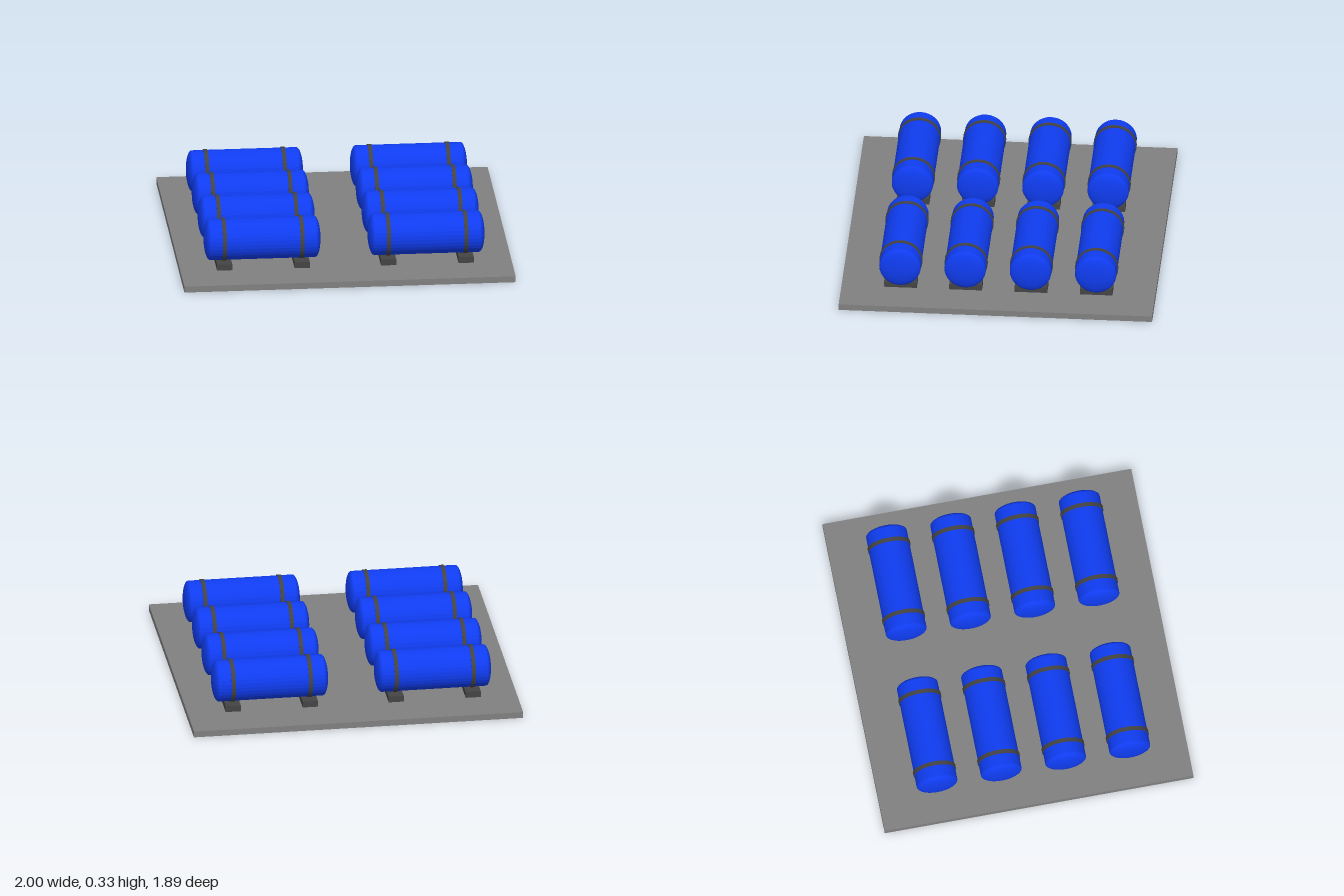
import * as THREE from 'three';

const SIDES = 32;
const BASE_TOP = 0.038;
const TANK = { radius: 0.125, half: 0.352, cap: 0.036, y: 0.203 };
const STRAP = { radius: 0.13, width: 0.024, offset: 0.234 };

// Cylinder with shallow elliptical ends, lying along x
function tankGeometry() {
  const steps = 8;
  const shoulder = TANK.half - TANK.cap;
  const profile = [];
  for (const side of [-1, 1]) {
    for (let i = 0; i <= steps; i++) {
      const t = (side < 0 ? i : steps - i) / steps * Math.PI / 2;
      profile.push(new THREE.Vector2(
        TANK.radius * Math.sin(t),
        side * (shoulder + TANK.cap * Math.cos(t))
      ));
    }
  }
  return new THREE.LatheGeometry(profile, SIDES).rotateZ(Math.PI / 2);
}

export function createModel() {
  const model = new THREE.Group();
  model.name = 'tankField';

  const slabMat = new THREE.MeshStandardMaterial({ color: 0x808080 });
  const darkMat = new THREE.MeshStandardMaterial({ color: 0x444444 });
  const strapMat = new THREE.MeshStandardMaterial({ color: 0x444444, flatShading: true });
  const tankMat = new THREE.MeshStandardMaterial({ color: 0x0f3cf0, flatShading: true });

  const add = (parent, name, geometry, material, x, y, z) => {
    const mesh = new THREE.Mesh(geometry, material);
    mesh.name = name;
    mesh.position.set(x, y, z);
    parent.add(mesh);
  };

  // Ground slab
  add(model, 'baseSlab', new THREE.BoxGeometry(2, BASE_TOP, 1.89), slabMat, 0, BASE_TOP / 2, 0);

  const tankGeo = tankGeometry();
  const strapGeo = new THREE.CylinderGeometry(STRAP.radius, STRAP.radius, STRAP.width, SIDES)
    .rotateZ(Math.PI / 2);
  const footHeight = 0.038;
  const footGeo = new THREE.BoxGeometry(0.092, footHeight, 0.197);

  // Two columns of four tanks, each with two straps and two feet
  for (const x of [-0.5, 0.49]) {
    for (const z of [-0.59, -0.197, 0.197, 0.59]) {
      const unit = new THREE.Group();
      unit.name = 'tankUnit';
      unit.position.set(x, 0, z);
      add(unit, 'tank', tankGeo, tankMat, 0, TANK.y, 0);
      for (const side of [-1, 1]) {
        add(unit, 'strap', strapGeo, strapMat, side * STRAP.offset, TANK.y, 0);
        add(unit, 'foot', footGeo, darkMat, side * STRAP.offset, BASE_TOP + footHeight / 2, 0);
      }
      model.add(unit);
    }
  }
  return model;
}
